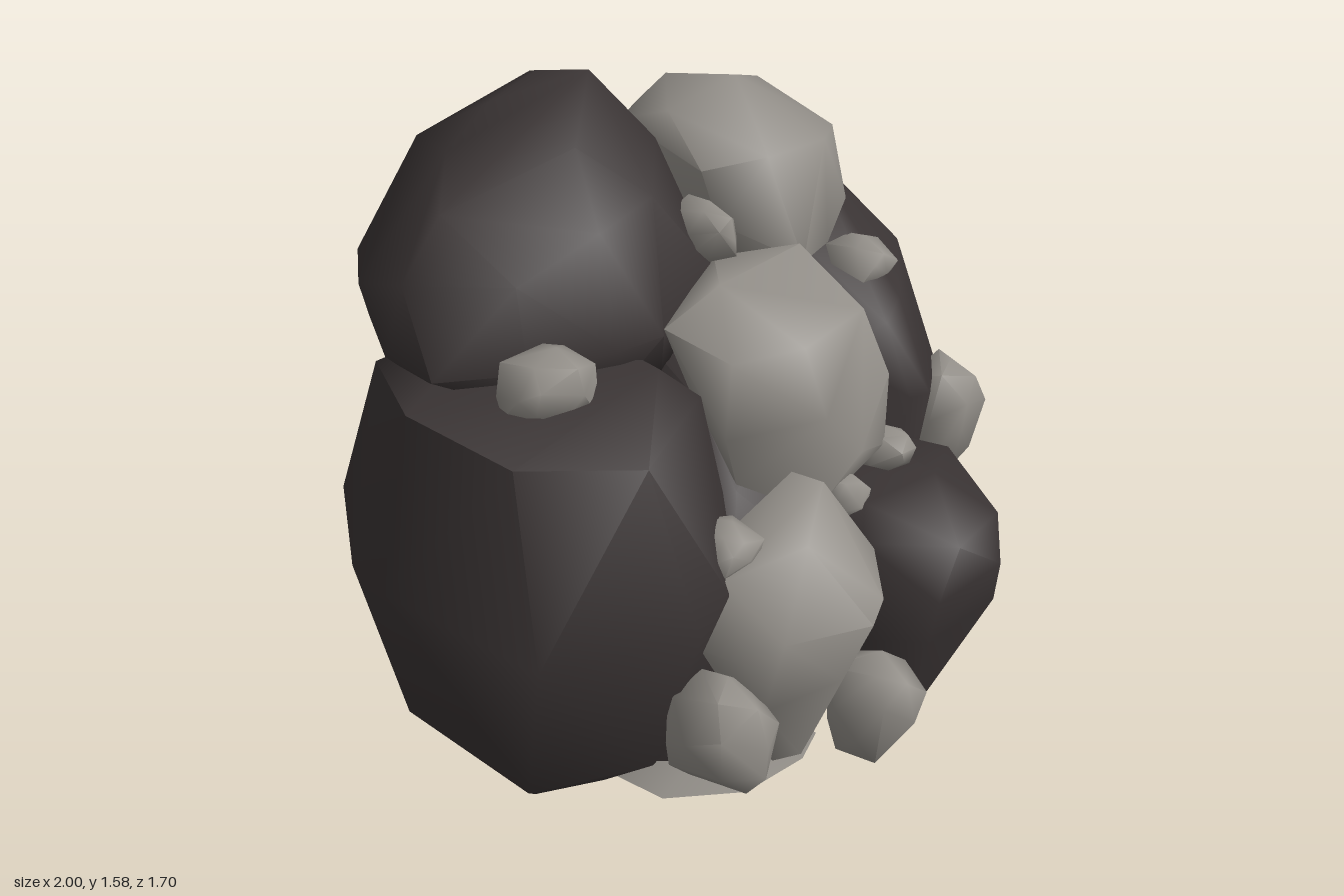
import * as THREE from 'three';
import { toCreasedNormals } from 'three/addons/utils/BufferGeometryUtils.js';
import { ConvexGeometry } from 'three/addons/geometries/ConvexGeometry.js';

const darkStone = new THREE.MeshStandardMaterial({ color: 0x3a3434 });
darkStone.name = 'darkStone';
const paleStone = new THREE.MeshStandardMaterial({ color: 0x938f89 });
paleStone.name = 'paleStone';

// Boulder: convex hull of a few [x, y, z] corners with softened edges
function boulder(name, material, corners) {
  const hull = new ConvexGeometry(corners.map((c) => new THREE.Vector3(...c)));
  const mesh = new THREE.Mesh(toCreasedNormals(hull, 1.2), material);
  mesh.name = name;
  return mesh;
}

// Pebble: a chipped ellipsoid filling the box from min to max
function pebble(name, min, max, seed) {
  const rand = () => (seed = (seed * 16807) % 2147483647) / 2147483647;
  const box = new THREE.Box3(new THREE.Vector3(...min), new THREE.Vector3(...max));
  const center = box.getCenter(new THREE.Vector3());
  const half = box.getSize(new THREE.Vector3()).multiplyScalar(0.5);
  const corners = [];
  for (let i = 0; i < 22; i++) {
    const y = 1 - (2 * (i + 0.5)) / 22;
    const r = Math.sqrt(1 - y * y);
    const a = i * 2.4 + rand() * 0.9;
    const k = 1.03 + rand() * 0.25;
    const dir = [Math.cos(a) * r, y, Math.sin(a) * r].map((v) => THREE.MathUtils.clamp(v * k, -1, 1));
    corners.push(new THREE.Vector3(...dir).multiply(half).add(center).toArray());
  }
  return boulder(name, paleStone, corners);
}

export function createModel() {
  const group = new THREE.Group();
  group.name = 'rockPile';

  // Large dark boulders
  group.add(boulder('leftBoulder', darkStone, [
    [-0.8, 0, 0.15], [-0.75, 0, -0.25], [-0.45, 0, -0.5], [0.05, 0, -0.5], [-0.1, 0, 0.25], [-0.65, 0, 0.25],
    [-0.92, 0.15, 0.25], [-0.9, 0.15, -0.2], [-0.6, 0.2, -0.57], [-0.65, 0.15, 0.42],
    [-1, 0.62, -0.13], [-0.96, 0.6, 0.35], [-0.62, 0.6, 0.55], [-0.5, 0.65, 0.54], [-0.22, 0.6, 0.32],
    [-0.95, 0.6, -0.3], [-0.73, 0.6, -0.59], [-0.57, 0.6, -0.64], [0.02, 0.55, -0.62], [0.02, 0.85, -0.58],
    [-0.86, 1.04, 0.2], [-0.86, 1.05, -0.15], [-0.65, 1.03, 0.42], [-0.3, 1.04, 0.15], [-0.22, 0.95, 0.22],
    [-0.65, 0.98, -0.5], [-0.2, 0.95, -0.5],
  ]));
  group.add(boulder('rightBoulder', darkStone, [
    [0.81, 0, 0.1], [0.8, 0, -0.2], [0.5, 0, -0.4], [0.1, 0, -0.4], [0.5, 0, 0.27], [0.7, 0, 0.25], [0.2, 0, 0.2],
    [0.87, 0.2, 0.1], [0.84, 0.2, -0.3], [0.62, 0.25, 0.3],
    [1, 0.62, 0.08], [0.94, 0.46, -0.1], [0.78, 0.65, 0.29], [0.5, 0.72, 0.45], [0.4, 0.75, 0.45],
    [0.94, 0.7, -0.4], [0.82, 0.7, -0.57], [0.5, 0.63, -0.71], [0.28, 0.65, -0.7],
    [0.96, 0.9, -0.05], [0.95, 0.85, -0.38], [0.77, 1.0, 0.14], [0.5, 0.98, 0.33], [0.4, 0.95, 0.36],
    [0.89, 1.09, -0.2], [0.68, 1.21, -0.1], [0.5, 1.23, -0.36], [0.66, 1.14, -0.45], [0.4, 1.22, -0.58],
    [0.36, 1.17, -0.67], [0.3, 0.95, -0.69], [0.25, 0.9, 0.3],
  ]));
  group.add(boulder('topBoulder', darkStone, [
    [0.07, 1.58, -0.4], [0.02, 1.56, -0.54], [-0.15, 1.52, -0.55], [-0.36, 1.46, -0.5], [0.26, 1.45, -0.53],
    [0.12, 1.5, -0.67], [-0.15, 1.47, -0.25], [-0.53, 1.39, -0.35], [0.16, 1.4, -0.25],
    [-0.25, 1.32, -0.08], [-0.05, 1.35, -0.08], [-0.5, 1.25, -0.13],
    [-0.2, 1.38, -0.79], [0, 1.38, -0.79], [-0.67, 1.25, -0.35], [-0.6, 1.15, -0.6],
    [-0.4, 1.1, -0.84], [-0.05, 1.05, -0.85], [0.12, 1.1, -0.78], [0.25, 1.15, -0.65], [0.28, 1.2, -0.53],
    [0.15, 1.15, -0.12], [0.08, 1.12, 0.03], [-0.22, 1.08, 0.1], [-0.35, 1.08, 0.07], [-0.55, 1.06, -0.05],
    [-0.73, 1.06, -0.2], [-0.7, 1.05, -0.4], [-0.55, 0.95, -0.1], [-0.3, 0.95, 0.03],
    [-0.4, 0.9, -0.82], [-0.05, 0.92, -0.83], [-0.3, 0.78, -0.7], [0, 0.78, -0.7],
    [-0.5, 0.85, -0.5], [0.2, 0.85, -0.5], [0, 0.8, -0.1],
  ]));
  group.add(boulder('frontBoulder', darkStone, [
    [-0.05, 0, 0.6], [0, 0, 0.68], [0.08, 0, 0.72], [0.28, 0, 0.67], [0.45, 0, 0.48], [0.45, 0, 0.2], [0, 0, 0.2],
    [0.5, 0.15, 0.55], [-0.08, 0.3, 0.62], [0, 0.33, 0.8], [0.27, 0.33, 0.83], [0.37, 0.3, 0.78],
    [0.58, 0.28, 0.45], [0.53, 0.45, 0.55], [0.27, 0.45, 0.84], [0.02, 0.45, 0.81],
    [-0.03, 0.57, 0.6], [0.1, 0.58, 0.81], [0.3, 0.58, 0.8], [0.05, 0.63, 0.55], [0.25, 0.66, 0.63],
    [0.45, 0.61, 0.55], [0.4, 0.6, 0.3], [0.05, 0.6, 0.3],
  ]));
  // Dark core that closes the gaps between the boulders and the flat base
  group.add(boulder('coreBoulder', darkStone, [
    [-0.6, 0, 0.2], [-0.4, 0, 0.28], [-0.15, 0, 0.34], [0.1, 0, 0.5], [0.5, 0, 0.2], [0.4, 0, -0.3],
    [0, 0, -0.45], [-0.4, 0, -0.4], [-0.55, 0.13, 0.48], [-0.4, 0.12, 0.58], [-0.1, 0.12, 0.6],
    [-0.08, 0.48, 0.6], [-0.3, 0.45, 0.6], [-0.5, 0.4, 0.55], [0.3, 0.6, 0.4], [-0.1, 0.62, 0.42],
    [-0.2, 0.7, 0.32], [0.3, 0.85, 0.2], [0.1, 0.85, -0.3], [-0.1, 0.85, 0.1],
  ]));

  // Pale boulders wedged between them
  group.add(boulder('frontPaleBoulder', paleStone, [
    [-0.5, 0.68, 0.52], [-0.3, 0.72, 0.62], [-0.1, 0.76, 0.52], [-0.03, 0.6, 0.53], [0, 0.56, 0.52],
    [-0.1, 0.75, 0.42], [-0.45, 0.66, 0.4], [-0.56, 0.5, 0.5], [-0.54, 0.5, 0.62], [-0.48, 0.56, 0.69],
    [-0.27, 0.55, 0.8], [-0.2, 0.58, 0.78], [-0.1, 0.63, 0.68], [-0.2, 0.42, 0.73], [-0.24, 0.27, 0.66],
    [-0.42, 0.12, 0.62], [-0.38, 0.15, 0.68], [-0.5, 0.35, 0.65], [-0.3, 0.25, 0.45], [-0.33, 0.4, 0.76],
  ]));
  group.add(boulder('middlePaleBoulder', paleStone, [
    [-0.22, 1.1, 0.1], [-0.05, 1.17, 0.14], [0.29, 1.16, 0.14], [0.1, 1.15, 0], [0.33, 1.05, 0.1],
    [-0.2, 1.06, 0.3], [-0.03, 1.07, 0.4], [0.22, 1.08, 0.4], [0.35, 0.93, 0.25], [-0.22, 0.85, 0.3],
    [-0.04, 0.9, 0.48], [0.25, 0.9, 0.47], [0.05, 0.78, 0.53], [0.2, 0.72, 0.5], [0.25, 0.68, 0.35],
    [-0.03, 0.6, 0.45], [-0.2, 0.72, 0.32], [0, 0.7, 0.05],
  ]));
  group.add(boulder('upperPaleBoulder', paleStone, [
    [0.5, 1.48, -0.25], [0.64, 1.43, -0.28], [0.27, 1.43, -0.3], [0.45, 1.45, -0.46], [0.42, 1.36, -0.54],
    [0.3, 1.35, -0.5], [0.52, 1.38, -0.5], [0.17, 1.34, -0.1], [0.3, 1.37, 0.02], [0.5, 1.37, 0.06],
    [0.62, 1.36, 0], [0.68, 1.2, -0.15], [0.63, 1.15, 0.05], [0.45, 1.1, 0.12], [0.34, 1.08, 0.12],
    [0.18, 1.2, -0.05], [0.55, 1, 0], [0.35, 0.95, 0], [0.5, 1.15, -0.54], [0.3, 1.1, -0.5],
  ]));
  group.add(boulder('rearPaleBoulder', paleStone, [
    [-0.05, 0, -0.4], [-0.02, 0, -0.66], [0.18, 0, -0.71], [0.3, 0, -0.6], [0.28, 0, -0.4],
    [-0.05, 0.2, -0.66], [0.18, 0.27, -0.69], [0.3, 0.2, -0.58], [0, 0.4, -0.58], [0.2, 0.4, -0.6], [0.1, 0.4, -0.4],
  ]));
  // Thin pale slab sloping up from the base under the front left side
  group.add(boulder('frontSlab', paleStone, [
    [-0.66, 0.07, 0.46], [-0.5, 0.06, 0.6], [-0.3, 0.05, 0.63], [-0.17, 0.02, 0.58],
    [-0.62, 0, 0.24], [-0.4, 0, 0.3], [-0.17, 0, 0.36], [-0.35, 0.07, 0.4],
  ]));

  // Small pale stones, as opposite corners of the space each one fills
  const stones = [
    [[-0.7, 1, -0.07], [-0.46, 1.16, 0.14]],
    [[0.03, 1.14, -0.14], [0.17, 1.29, 0.07]],
    [[0.44, 0.96, 0.05], [0.63, 1.09, 0.27]],
    [[0.16, 0.63, 0.37], [0.3, 0.74, 0.56]],
    [[0.58, 0.4, 0.26], [0.81, 0.7, 0.48]],
    [[0.52, 0.28, 0.3], [0.64, 0.4, 0.44]],
    [[-0.7, 0.16, 0.45], [-0.48, 0.46, 0.71]],
    [[-0.24, 0.03, 0.6], [-0.03, 0.33, 0.85]],
    [[-0.5, 0.65, 0.38], [-0.34, 0.77, 0.54]],
    [[-0.01, 0.57, 0.42], [0.1, 0.69, 0.55]],
  ];
  stones.forEach(([min, max], i) => group.add(pebble(`smallStone${i + 1}`, min, max, 97 + i * 131)));
  return group;
}
